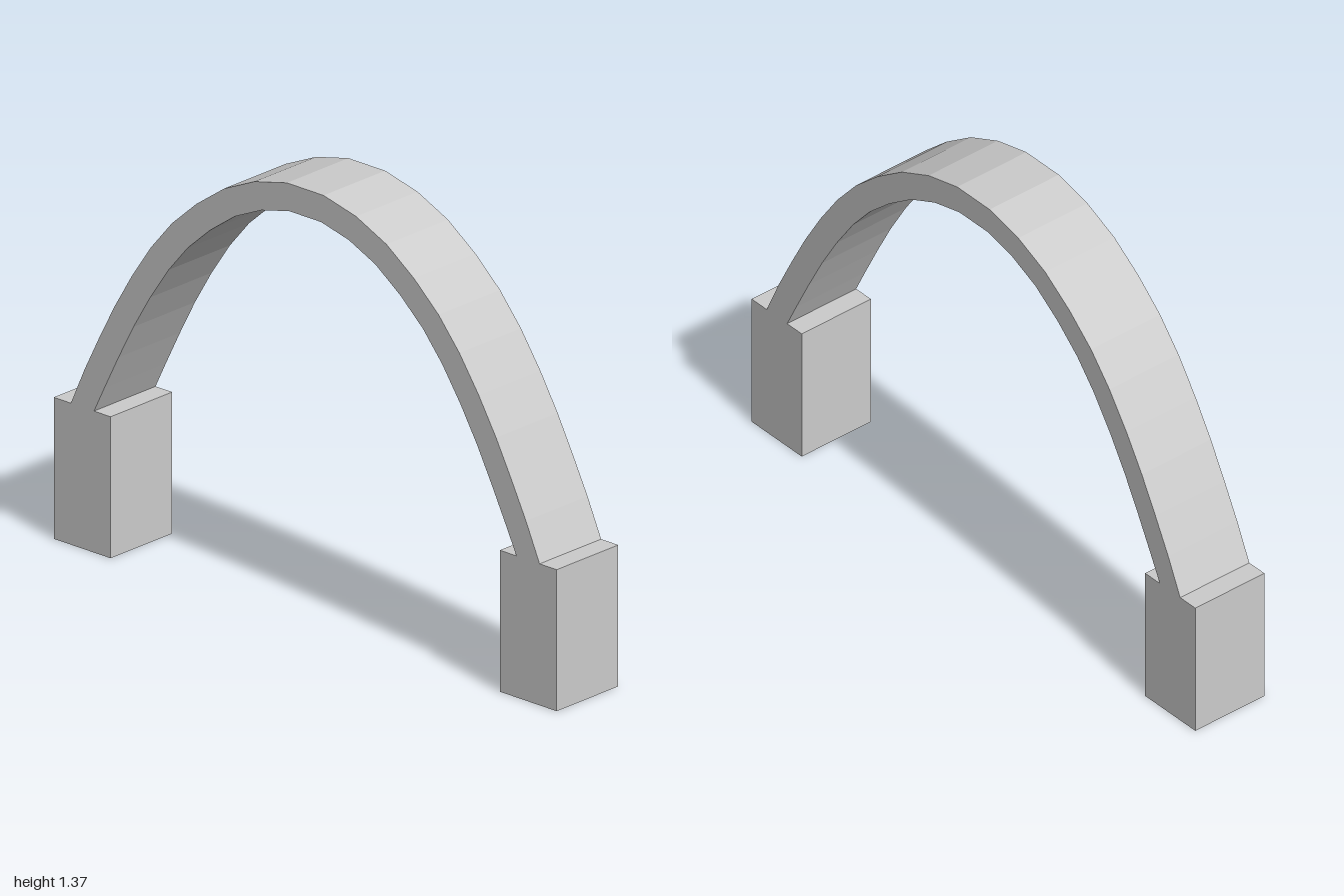
import * as THREE from 'three';

const DEPTH = 0.265, BLOCK_TOP = 0.445, BLOCK_WIDTH = 0.226, BAND = 0.087;

// Right half of the arch's outer curve, from the crown to the springing
const HALF = [
  [0.073, 1.371], [0.202, 1.34], [0.323, 1.285], [0.433, 1.207], [0.53, 1.12],
  [0.613, 1.022], [0.69, 0.91], [0.759, 0.795], [0.82, 0.68], [0.878, 0.565], [0.932, BLOCK_TOP],
].map(([x, y]) => new THREE.Vector2(x, y));

const mirror = (p) => new THREE.Vector2(-p.x, p.y);

// Inner curve: each outer point moved inwards by the band thickness
function innerHalf() {
  const chain = [mirror(HALF[0]), ...HALF];
  return HALF.map((p, i) => {
    if (i === HALF.length - 1) return new THREE.Vector2(p.x - 0.092, BLOCK_TOP);
    const t = chain[i + 2].clone().sub(chain[i]).normalize();
    return new THREE.Vector2(p.x + t.y * BAND, p.y - t.x * BAND);
  });
}

export function createModel() {
  const group = new THREE.Group();
  const material = new THREE.MeshStandardMaterial({ color: 0xcccccc, flatShading: true });

  // Faceted arch band
  const inner = innerHalf();
  const outline = [
    ...HALF.map(mirror).reverse(), ...HALF,
    ...inner.slice().reverse(), ...inner.map(mirror),
  ];
  const archGeometry = new THREE.ExtrudeGeometry(new THREE.Shape(outline), { depth: DEPTH, bevelEnabled: false });
  archGeometry.translate(0, 0, -DEPTH / 2);
  const arch = new THREE.Mesh(archGeometry, material);
  arch.name = 'arch';
  group.add(arch);

  // Foot blocks
  for (const side of [-1, 1]) {
    const block = new THREE.Mesh(new THREE.BoxGeometry(BLOCK_WIDTH, BLOCK_TOP, DEPTH), material);
    block.name = side > 0 ? 'leftFootBlock' : 'rightFootBlock';
    block.position.set(side * (1 - BLOCK_WIDTH / 2), BLOCK_TOP / 2, 0);
    group.add(block);
  }
  return group;
}
